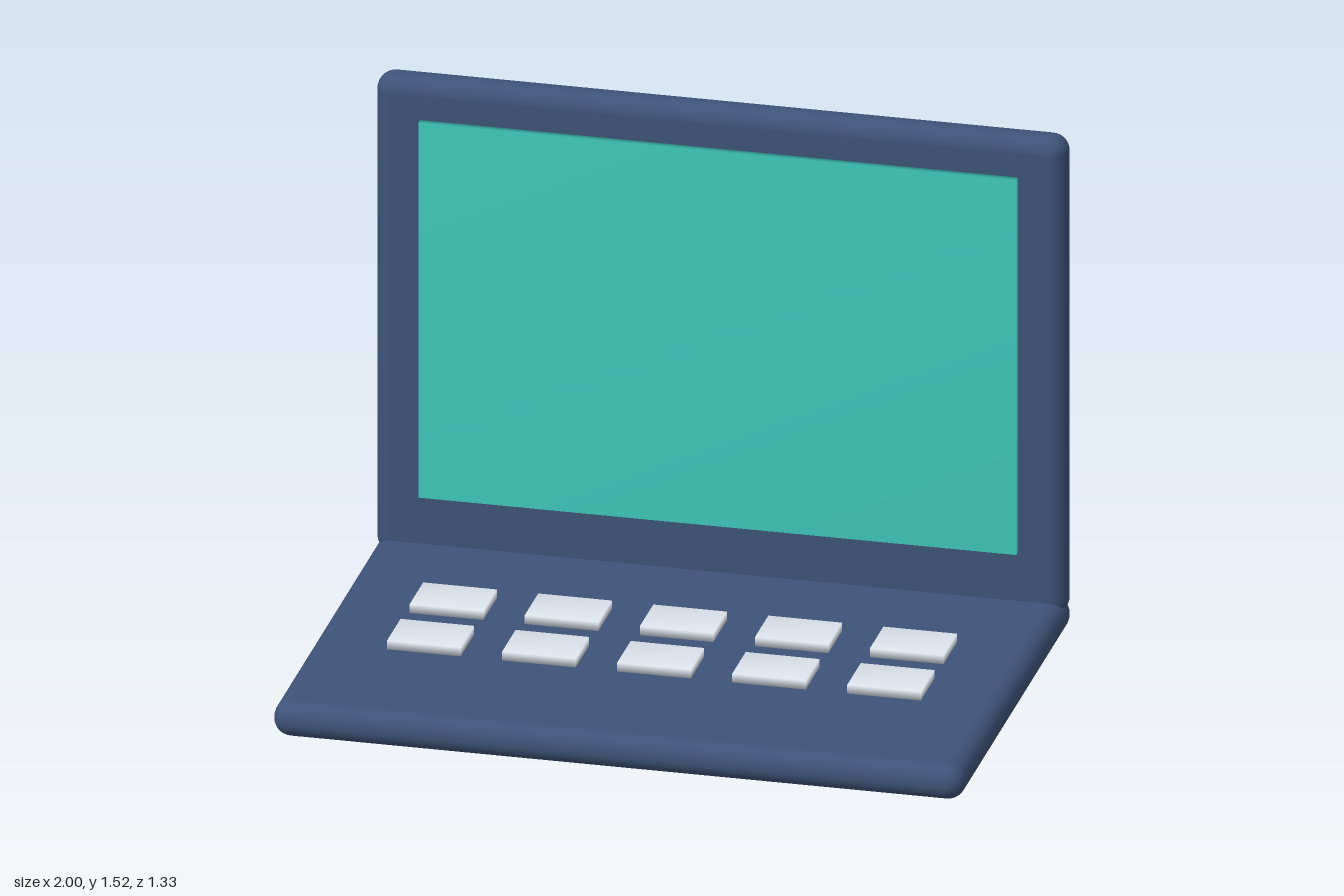
import * as THREE from 'three';
import { RoundedBoxGeometry } from 'three/addons/geometries/RoundedBoxGeometry.js';
import { mergeVertices } from 'three/addons/utils/BufferGeometryUtils.js';

const shellMat = new THREE.MeshStandardMaterial({ color: 0x3d5378 });
const screenMat = new THREE.MeshStandardMaterial({ color: 0x40c9bd });
const keyMat = new THREE.MeshStandardMaterial({ color: 0xdce4ec });

// Box with shared corners, so its normals blend smoothly across the edges
function softBox(w, h, d) {
  const box = new THREE.BoxGeometry(w, h, d);
  box.deleteAttribute('normal');
  box.deleteAttribute('uv');
  const geometry = mergeVertices(box);
  geometry.computeVertexNormals();
  return geometry;
}

function addPart(parent, name, geometry, material, x, y, z) {
  const mesh = new THREE.Mesh(geometry, material);
  mesh.name = name;
  mesh.position.set(x, y, z);
  parent.add(mesh);
}

export function createModel() {
  const model = new THREE.Group();
  model.name = 'laptop';

  // Base slab and upright lid, both with rounded edges
  addPart(model, 'base', new RoundedBoxGeometry(2, 0.106, 1.326, 5, 0.051), shellMat, 0, 0.053, 0);
  addPart(model, 'lid', new RoundedBoxGeometry(2, 1.465, 0.106, 5, 0.051), shellMat, 0, 0.7875, -0.61);

  // Display panel on the front of the lid
  addPart(model, 'screen', softBox(1.73, 1.146, 0.021), screenMat, 0, 0.828, -0.5465);

  // Two rows of five keys
  const keys = new THREE.Group();
  keys.name = 'keyboard';
  const keyGeometry = softBox(0.213, 0.027, 0.16);
  for (const z of [-0.134, 0.134]) {
    for (let i = -2; i <= 2; i++) {
      addPart(keys, 'key', keyGeometry, keyMat, i * 0.333, 0.1255, z);
    }
  }
  model.add(keys);
  return model;
}
